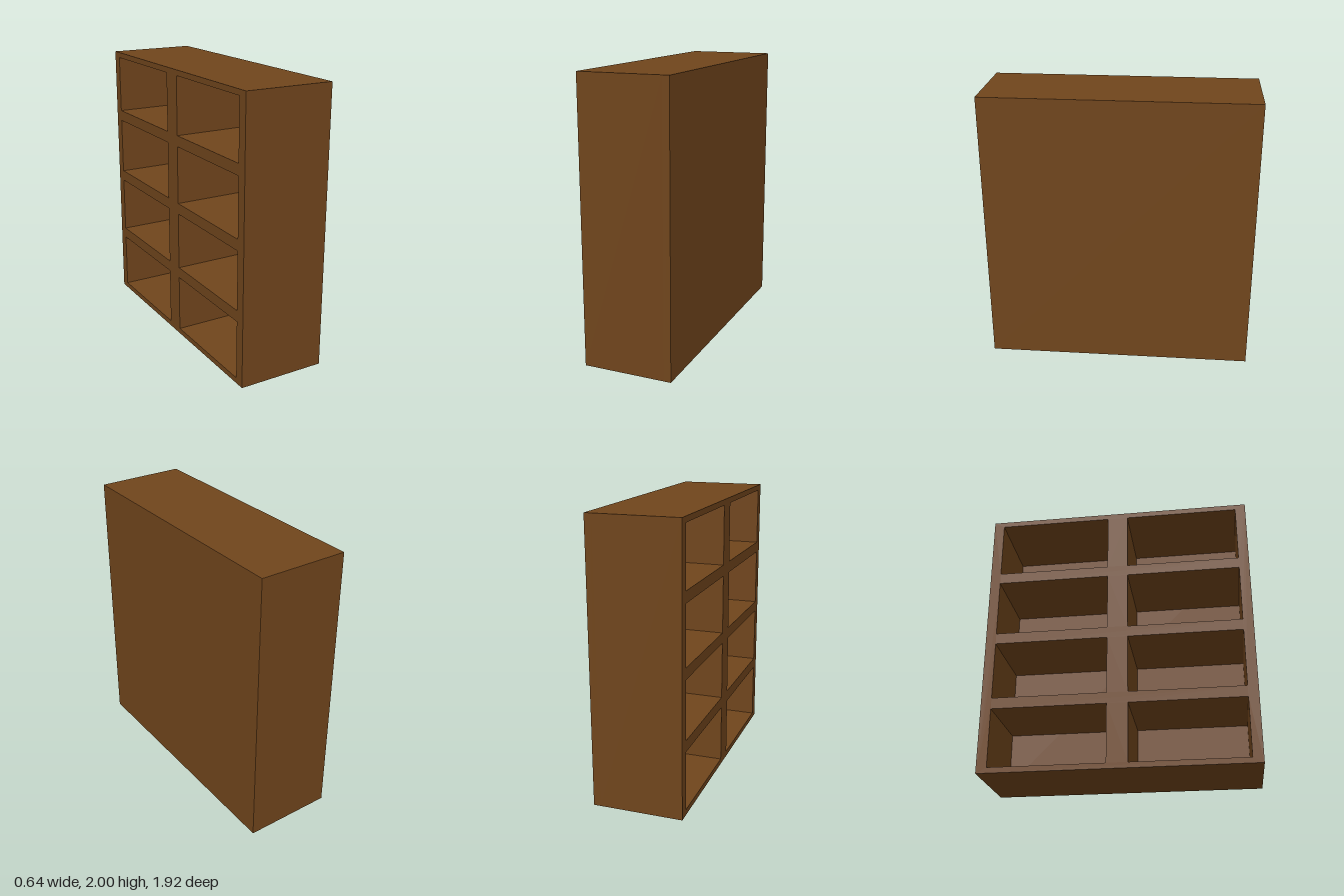
import * as THREE from 'three';

const W = 0.64, H = 2, L = 1.92;      // depth (x), height (y), length (z)
const ROWS = 4, COLS = 2;
const BACK = 0.05;                    // back panel thickness
const RIM_Z = 0.074, RIM_Y = 0.04;    // frame around each compartment

function rect(target, x0, y0, x1, y1) {
  target.moveTo(x0, y0);
  target.lineTo(x1, y0);
  target.lineTo(x1, y1);
  target.lineTo(x0, y1);
  target.closePath();
  return target;
}

export function createModel() {
  const model = new THREE.Group();
  model.name = 'bookshelf';
  const wood = new THREE.MeshStandardMaterial({ color: 0x70451c });

  // Outer walls, divider and shelves: one slab pierced by a grid of compartments
  const outline = rect(new THREE.Shape(), -L / 2, 0, L / 2, H);
  const cellZ = L / COLS, cellY = H / ROWS;
  for (let c = 0; c < COLS; c++) {
    for (let r = 0; r < ROWS; r++) {
      const z = -L / 2 + c * cellZ, y = r * cellY;
      outline.holes.push(rect(new THREE.Path(),
        z + RIM_Z, y + RIM_Y, z + cellZ - RIM_Z, y + cellY - RIM_Y));
    }
  }
  const frameGeo = new THREE.ExtrudeGeometry(outline, { depth: W - BACK, bevelEnabled: false });
  frameGeo.rotateY(-Math.PI / 2);     // compartments open towards -x
  frameGeo.translate(W / 2 - BACK, 0, 0);
  const frame = new THREE.Mesh(frameGeo, wood);
  frame.name = 'shelfFrame';
  model.add(frame);

  // Closed panel behind the compartments
  const panel = new THREE.Mesh(new THREE.BoxGeometry(BACK, H, L), wood);
  panel.name = 'backPanel';
  panel.position.set(W / 2 - BACK / 2, H / 2, 0);
  model.add(panel);

  return model;
}
